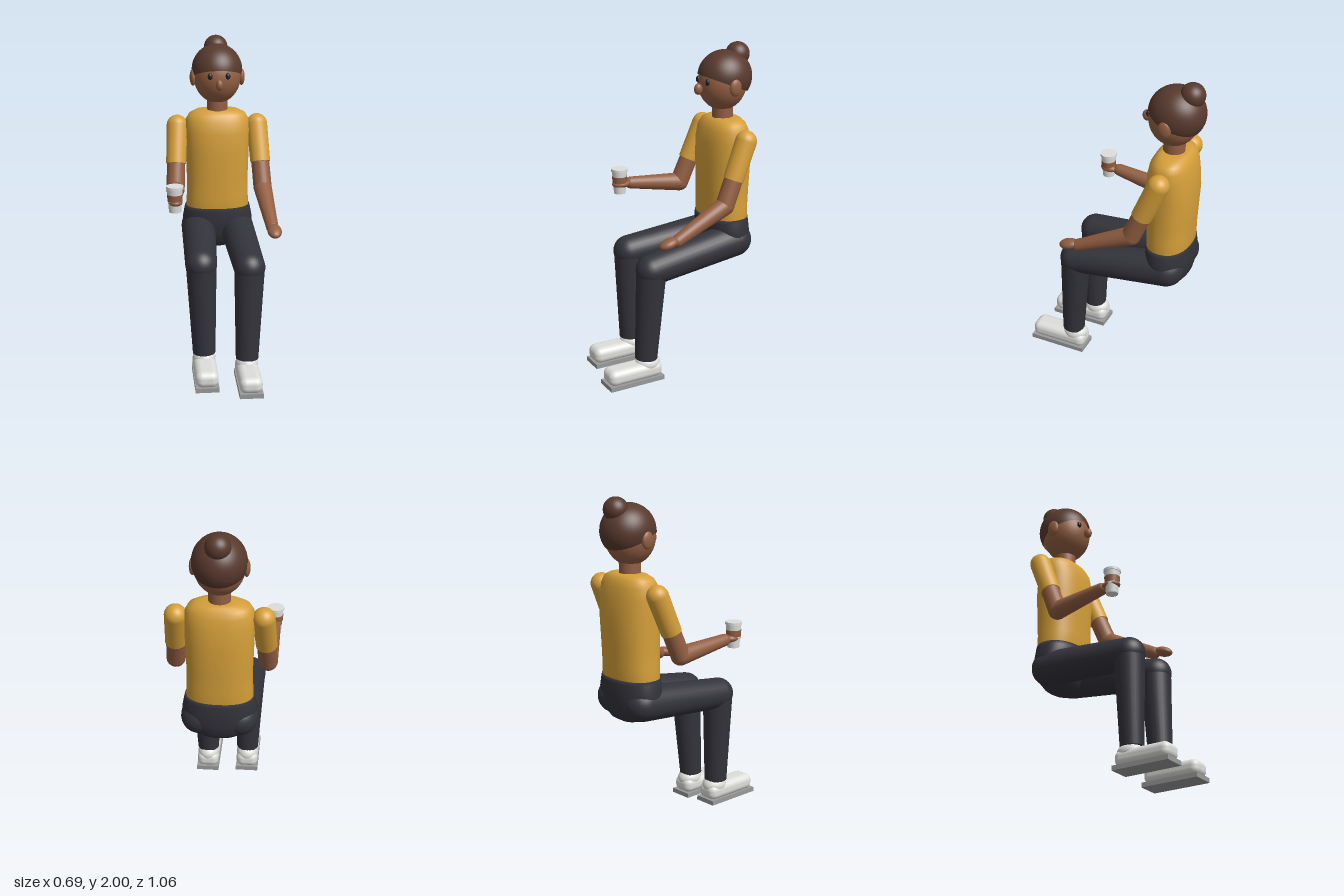
import * as THREE from 'three';
import { RoundedBoxGeometry } from 'three/addons/geometries/RoundedBoxGeometry.js';

const mat = (name, color) => Object.assign(new THREE.MeshStandardMaterial({ color }), { name });

export function createModel() {
  const model = new THREE.Group();
  model.name = 'seatedPerson';
  const skin = mat('skin', 0x935f42);
  const hair = mat('hair', 0x58392d);
  hair.side = THREE.DoubleSide;
  const shirt = mat('shirt', 0xd6a03a);
  const trousers = mat('trousers', 0x33333b);
  const white = mat('white', 0xdededb);
  const grey = mat('soleGrey', 0x9a9a9a);
  const dark = mat('eyeDark', 0x222228);

  const add = (name, geometry, material, pos = [0, 0, 0]) => {
    const mesh = new THREE.Mesh(geometry, material);
    mesh.name = name;
    mesh.position.set(...pos);
    model.add(mesh);
    return mesh;
  };
  const ball = (name, material, pos, radii) =>
    add(name, new THREE.SphereGeometry(1, 32, 20).scale(...radii), material, pos);

  // Tapered limb from a to b, round at the start and round or flat at the end
  const limb = (name, material, a, b, ra, rb, roundEnd = true) => {
    const from = new THREE.Vector3(...a);
    const dir = new THREE.Vector3(...b).sub(from);
    const len = dir.length();
    const pts = [];
    const n = 8;
    for (let i = 0; i <= n; i++) {
      const t = (i / n) * Math.PI / 2;
      pts.push(new THREE.Vector2(ra * Math.sin(t), -ra * Math.cos(t)));
    }
    if (roundEnd) {
      for (let i = 0; i <= n; i++) {
        const t = (i / n) * Math.PI / 2;
        pts.push(new THREE.Vector2(rb * Math.cos(t), len + rb * Math.sin(t)));
      }
    } else {
      pts.push(new THREE.Vector2(rb, len), new THREE.Vector2(rb - 0.002, len + 0.001), new THREE.Vector2(0, len + 0.001));
    }
    const mesh = add(name, new THREE.LatheGeometry(pts, 28), material, a);
    mesh.quaternion.setFromUnitVectors(new THREE.Vector3(0, 1, 0), dir.normalize());
    return mesh;
  };

  // Superellipse rings stacked upward; each row is [y, halfWidth, halfDepth, centreZ]
  const loft = (rows, power) => {
    const seg = 48, pos = [], index = [];
    const sp = v => Math.sign(v) * Math.abs(v) ** (2 / power);
    rows.forEach(([y, rx, rz, cz], i) => {
      for (let j = 0; j < seg; j++) {
        const t = (j / seg) * Math.PI * 2;
        pos.push(rx * sp(Math.cos(t)), y, cz + rz * sp(Math.sin(t)));
        if (i < rows.length - 1) {
          const a = i * seg + j, c = i * seg + (j + 1) % seg;
          index.push(a, a + seg, c, c, a + seg, c + seg);
        }
      }
    });
    const g = new THREE.BufferGeometry();
    g.setAttribute('position', new THREE.Float32BufferAttribute(pos, 3));
    g.setIndex(index);
    g.computeVertexNormals();
    return g;
  };

  // Torso and hips
  add('shirtBody', loft([
    [0.935, 0, 0, -0.35], [0.936, 0.19, 0.125, -0.35], [0.94, 0.198, 0.133, -0.35],
    [1.02, 0.193, 0.134, -0.35], [1.12, 0.192, 0.138, -0.352], [1.3, 0.198, 0.146, -0.354],
    [1.42, 0.2, 0.138, -0.352], [1.49, 0.197, 0.124, -0.354], [1.53, 0.175, 0.105, -0.357],
    [1.55, 0.135, 0.085, -0.36], [1.556, 0.09, 0.065, -0.36], [1.557, 0, 0, -0.36],
  ], 2.3), shirt);
  add('hips', loft([
    [0.665, 0, 0, -0.36], [0.67, 0.07, 0.055, -0.36], [0.69, 0.13, 0.09, -0.36],
    [0.73, 0.185, 0.118, -0.357], [0.79, 0.216, 0.134, -0.354], [0.86, 0.22, 0.14, -0.352],
    [0.92, 0.209, 0.138, -0.35], [0.943, 0.203, 0.136, -0.35], [0.944, 0, 0, -0.35],
  ], 2.2), trousers);

  // Head
  add('neck', new THREE.CylinderGeometry(0.064, 0.064, 0.14, 32), skin, [0, 1.585, -0.35]);
  ball('head', skin, [0, 1.763, -0.345], [0.145, 0.165, 0.149]);
  const cap = new THREE.SphereGeometry(1, 40, 24, 0, Math.PI * 2, 0, 1.83);
  add('hairCap', cap.rotateX(-0.4).scale(0.156, 0.16, 0.168), hair, [0, 1.8, -0.362]);
  ball('hairBun', hair, [0, 1.927, -0.45], [0.073, 0.073, 0.073]);
  ball('nose', skin, [0, 1.74, -0.178], [0.022, 0.034, 0.027]);
  for (const s of [-1, 1]) {
    ball('ear', skin, [s * 0.15, 1.758, -0.345], [0.02, 0.052, 0.04]);
    ball('eye', dark, [s * 0.054, 1.787, -0.208], [0.015, 0.02, 0.012]);
  }

  // Arms: the right one is raised to hold a cup
  for (const [s, wrist] of [[1, [0.292, 0.93, 0.13]], [-1, [-0.293, 1.125, 0.13]]]) {
    const shoulder = [s * 0.25, 1.455, -0.36];
    const elbow = [s * 0.272, 1.085, -0.205];
    const cuff = shoulder.map((v, i) => v + (elbow[i] - v) * 0.6);
    limb('sleeve', shirt, shoulder, cuff, 0.065, 0.062, false);
    limb('upperArm', skin, shoulder, elbow, 0.055, 0.057);
    limb('forearm', skin, elbow, wrist, 0.057, 0.037);
  }
  ball('leftHand', skin, [0.298, 0.926, 0.19], [0.043, 0.03, 0.062]).rotation.x = 0.3;
  ball('rightHand', skin, [-0.293, 1.128, 0.195], [0.043, 0.026, 0.06]);

  // Cup with rim and heat band
  const cx = -0.295, cz = 0.205;
  add('cup', new THREE.CylinderGeometry(0.047, 0.036, 0.15, 32), white, [cx, 1.145, cz]);
  add('cupLid', new THREE.CylinderGeometry(0.051, 0.051, 0.016, 32), white, [cx, 1.219, cz]);
  add('cupBand', new THREE.CylinderGeometry(0.0465, 0.044, 0.04, 32), skin, [cx, 1.158, cz]);

  // Legs and shoes
  for (const [s, lift, back] of [[1, 0, 0], [-1, 0.035, 0.03]]) {
    const knee = [s * 0.145, 0.715 + lift * 0.8, 0.225];
    const ankle = [s * 0.13, 0.14 + lift, 0.258 - back];
    limb('thigh', trousers, [s * 0.12, 0.795, -0.37], knee, 0.108, 0.095);
    limb('shin', trousers, knee, ankle, 0.092, 0.069, false);
    const x = s * 0.13, z = 0.35 - back;
    add('sole', new THREE.BoxGeometry(0.142, 0.028, 0.364), grey, [x, 0.014 + lift, z]);
    add('shoe', new RoundedBoxGeometry(0.138, 0.1, 0.36, 5, 0.042), white, [x, 0.07 + lift, z]);
    ball('shoeCollar', white, [x, 0.105 + lift, 0.248 - back], [0.069, 0.058, 0.08]);
  }
  return model;
}
